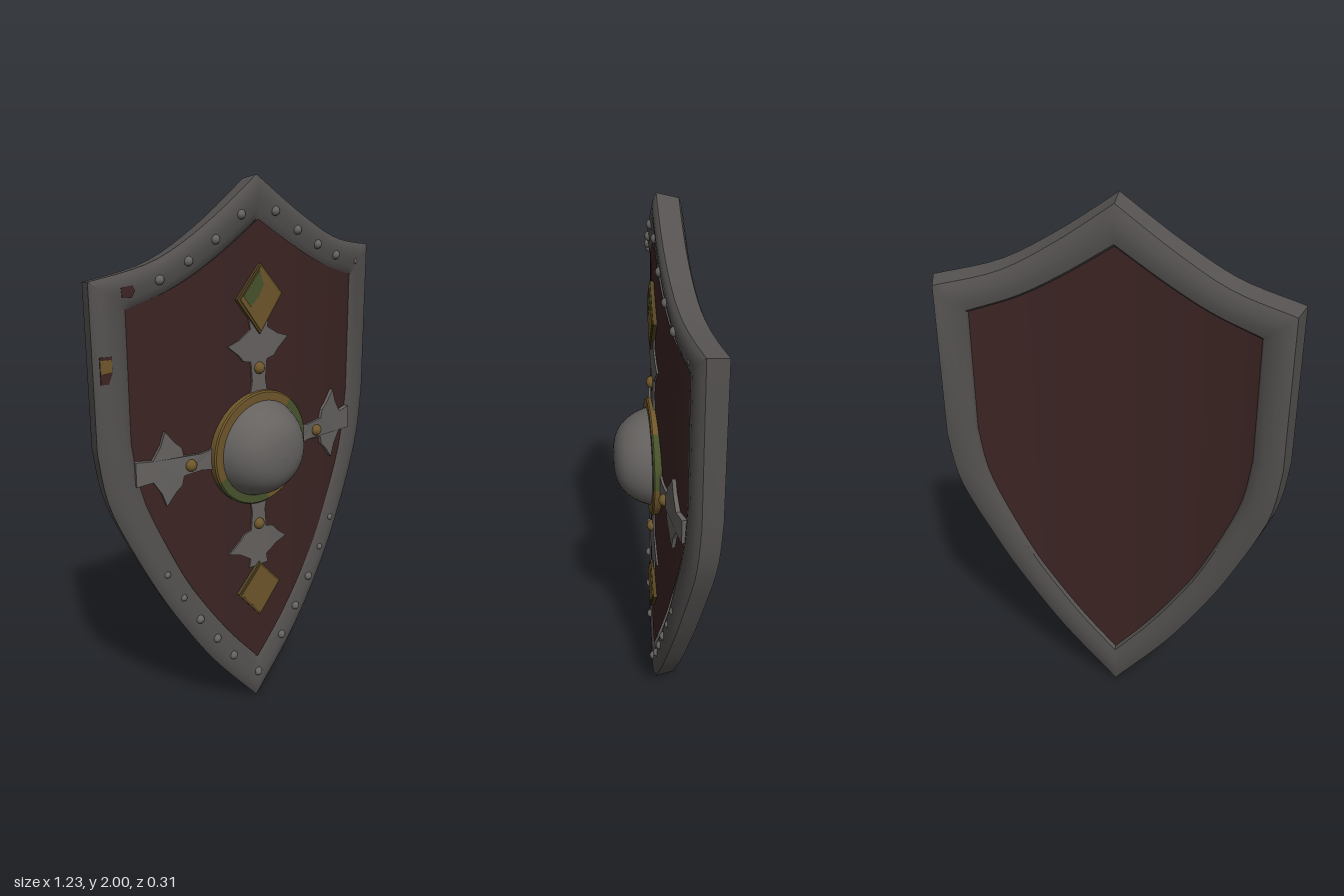
import * as THREE from 'three';
import { toCreasedNormals } from 'three/addons/utils/BufferGeometryUtils.js';

const mat = (name, color) => Object.assign(new THREE.MeshStandardMaterial({ color }), { name });

// Curves the flat shield around a vertical axis; d is the depth from the front surface
const bendZ = (x) => -0.11 * x * x - 0.16 * Math.abs(x) ** 3;
const bend = (x, y, d) => [x * (1 + 0.5 * d), 1 + (y - 1) * (1 + 0.25 * d), bendZ(x) + d];

function bendGeometry(geo) {
  const p = geo.attributes.position;
  for (let i = 0; i < p.count; i++) p.setXYZ(i, ...bend(p.getX(i), p.getY(i), p.getZ(i)));
  geo.computeVertexNormals();
  return geo;
}

const spline = (pts, n) => new THREE.SplineCurve(pts.map(([x, y]) => new THREE.Vector2(x, y))).getPoints(n);

// Half outlines, from the top tip round the +x side to the bottom tip
const outerTop = spline([[0, 2], [0.2, 1.862], [0.4, 1.755], [0.615, 1.706]], 14);
const outerLow = spline([[0.615, 1.14], [0.58, 0.93], [0.46, 0.655], [0.35, 0.455], [0.2, 0.232], [0, 0]], 24);
const innerTop = spline([[0, 1.85], [0.17, 1.743], [0.33, 1.66], [0.497, 1.603]], 14);
const innerLow = spline([[0.497, 1.16], [0.46, 0.95], [0.335, 0.655], [0.235, 0.485], [0.12, 0.325], [0, 0.185]], 24);

function fullLoop(top, low) {
  const half = [...top, ...low];
  const mirrored = half.slice(1, -1).reverse().map((p) => new THREE.Vector2(-p.x, p.y));
  return [...half, ...mirrored];
}

function indexed(pos, idx) {
  const geo = new THREE.BufferGeometry();
  geo.setAttribute('position', new THREE.Float32BufferAttribute(pos, 3));
  geo.setIndex(idx);
  return toCreasedNormals(geo, 0.6);
}

// Rim: a cross-section [share from outer to inner edge, depth], bulging front and back, swept round the outline
function rimGeometry() {
  const outer = fullLoop(outerTop, outerLow), inner = fullLoop(innerTop, innerLow);
  const section = [[0, -0.071], [0, 0.001], [0.12, 0.01], [0.3, 0.015], [0.5, 0.014], [0.75, 0.008],
    [0.93, 0.001], [1, -0.008], [1, -0.045], [0.92, -0.072], [0.85, -0.08], [0.6, -0.086], [0.35, -0.085], [0.12, -0.078]];
  const pos = [], idx = [], n = outer.length, m = section.length;
  for (let i = 0; i < n; i++) {
    for (const [t, d] of section) {
      const p = outer[i].clone().lerp(inner[i], t);
      pos.push(...bend(p.x, p.y, d));
    }
    for (let j = 0; j < m; j++) {
      const k = (j + 1) % m, q = (i + 1) % n;
      const a = i * m + j, b = i * m + k, c = q * m + j, e = q * m + k;
      idx.push(a, b, c, b, e, c);
    }
  }
  return indexed(pos, idx);
}

// Height of a sampled curve at a given x
function heightAt(curve, x) {
  for (let i = 1; i < curve.length; i++) {
    const a = curve[i - 1], b = curve[i];
    if ((x - a.x) * (x - b.x) <= 0 && a.x !== b.x) return a.y + ((b.y - a.y) * (x - a.x)) / (b.x - a.x);
  }
  return curve.at(-1).y;
}

// Panel: vertical strips between the inner edges, tucked into the rim by grow, sinking by dip towards the sides
function panelGeometry(depth, dip, front, grow) {
  const pos = [], idx = [], n = 48;
  for (let i = 0; i <= n; i++) {
    const x = (i / (n / 2) - 1) * 0.497, ax = Math.abs(x), wide = x * (1 + 2 * grow);
    const d = depth - dip * (x / 0.497) ** 2;
    pos.push(...bend(wide, heightAt(innerTop, ax) + grow, d));
    pos.push(...bend(wide, heightAt(innerLow, ax) - grow, d));
    if (i === n) break;
    const a = i * 2;
    if (front) idx.push(a, a + 1, a + 2, a + 1, a + 3, a + 2);
    else idx.push(a, a + 2, a + 1, a + 1, a + 2, a + 3);
  }
  return indexed(pos, idx);
}

// Flat plate that follows the bend
function plate(points, d, depth) {
  const shape = new THREE.Shape(points.map(([x, y]) => new THREE.Vector2(x, y)));
  const geo = new THREE.ExtrudeGeometry(shape, { depth, bevelEnabled: false });
  geo.translate(0, 0, d);
  return bendGeometry(geo);
}

export function createModel() {
  const group = new THREE.Group();
  const rimSteel = mat('rim steel', 0x545150);
  const steel = mat('pale steel', 0x656260);
  const red = mat('dark red', 0x3b2423);
  const gold = mat('old gold', 0x6e562a);
  const darkGold = mat('dark gold', 0x524322);
  const green = mat('verdigris', 0x47522b);

  const add = (name, geo, material) => {
    const mesh = new THREE.Mesh(geo, material);
    mesh.name = name;
    group.add(mesh);
    return mesh;
  };

  add('rim', rimGeometry(), rimSteel);
  add('frontPanel', panelGeometry(0.009, 0.012, true, 0.005), red);
  add('backPanel', panelGeometry(-0.068, 0, false, 0.014), red);

  // Four forked arms around the boss
  const cy = 1.05;
  for (let k = 0; k < 4; k++) {
    const end = k % 2 ? 0.47 : 0.495;
    const half = [[0.18, 0.05], [0.215, 0.036], [0.25, 0.03], [0.32, 0.036], [0.327, 0.068], [0.352, 0.09],
      [0.388, 0.135], [0.405, 0.085], [0.42, 0.062], [0.435, 0.038], [end, 0.044]];
    const outline = [...half.map(([u, w]) => [u, -w]), ...half.map(([u, w]) => [u, w]).reverse()];
    const c = Math.round(Math.cos((k * Math.PI) / 2)), s = Math.round(Math.sin((k * Math.PI) / 2));
    add('forkedArm', plate(outline.map(([u, w]) => [c * u - s * w, cy + s * u + c * w]), -0.008, 0.023), steel);
  }

  // Diamonds: dark border plate, gold face, aged patch on the upper one
  const diamond = (y, top, bottom, w) => [[0, y + top], [-w, y], [0, y - bottom], [w, y]];
  for (const [y, top, bottom] of [[1.595, 0.113, 0.13], [0.487, 0.108, 0.115]]) {
    add('diamondBorder', plate(diamond(y, top, bottom, 0.1), 0.003, 0.019), darkGold);
    add('diamondFace', plate(diamond(y, top - 0.012, bottom - 0.012, 0.088), 0.018, 0.007), gold);
  }
  add('diamondPatina', plate([[-0.005, 1.685], [-0.075, 1.605], [-0.045, 1.565], [-0.01, 1.595], [0.012, 1.635]], 0.02, 0.006), green);

  // Boss: collar in aged and clean arcs, and a dome
  const lathe = (pts, seg, start = 0, len = 360) => {
    const r = Math.PI / 180;
    const geo = new THREE.LatheGeometry(pts.map(([x, y]) => new THREE.Vector2(x, y)), seg, start * r, len * r);
    return geo.rotateX(Math.PI / 2);
  };
  const collar = [[0.212, -0.012], [0.212, 0.026], [0.207, 0.031], [0.17, 0.031]];
  for (const [start, len, m] of [[-65, 75, green], [10, 75, gold], [85, 55, green], [140, 155, gold]]) {
    add('bossCollar', toCreasedNormals(lathe(collar, Math.round(len / 7), start, len), 0.6), m).position.y = cy;
  }
  const domeProfile = spline([[0.18, 0.02], [0.172, 0.045], [0.152, 0.087], [0.116, 0.127], [0.065, 0.15], [0, 0.157]], 14)
    .map((p) => [Math.max(p.x, 0), p.y]);
  add('bossDome', lathe(domeProfile, 36), steel).position.y = cy;

  // Rivets
  const rivetGeo = new THREE.SphereGeometry(1, 12, 6, 0, Math.PI * 2, 0, Math.PI / 2).rotateX(Math.PI / 2);
  const rivet = (name, x, y, d, r, m) => {
    const mesh = add(name, rivetGeo, m);
    mesh.position.set(x, y, bendZ(x) + d);
    mesh.scale.set(r, r, r);
  };
  for (const [x, y] of [[0, 1.345], [0, 0.75], [0.295, 1.047], [-0.295, 1.047]]) {
    rivet('armRivet', x, y, 0.014, 0.022, gold);
  }
  const rimSpots = [[0.075, 1.877], [0.18, 1.805], [0.285, 1.745], [0.39, 1.695],
    [0.397, 0.653], [0.335, 0.544], [0.27, 0.437], [0.197, 0.332], [0.122, 0.232]];
  for (const [x, y] of rimSpots) {
    for (const side of [-1, 1]) rivet('rimRivet', side * x, y, 0.01, y > 0.5 && y < 0.7 ? 0.013 : 0.017, steel);
  }
  rivet('rimRivet', 0, 0.112, 0.01, 0.017, steel);
  rivet('rimRivet', 0.52, 1.656, 0.004, 0.013, steel);

  // Worn marks on the front of the rim
  add('cornerMark', plate([[-0.518, 1.68], [-0.515, 1.65], [-0.485, 1.645], [-0.472, 1.667], [-0.48, 1.685]], 0.008, 0.008), red);
  add('sideMark', plate([[-0.595, 1.375], [-0.57, 1.375], [-0.557, 1.41], [-0.557, 1.465], [-0.595, 1.465]], 0.0085, 0.0075), red);
  add('sideMarkGold', plate([[-0.594, 1.41], [-0.558, 1.415], [-0.558, 1.455], [-0.594, 1.455]], 0.01, 0.0068), gold);

  return group;
}
